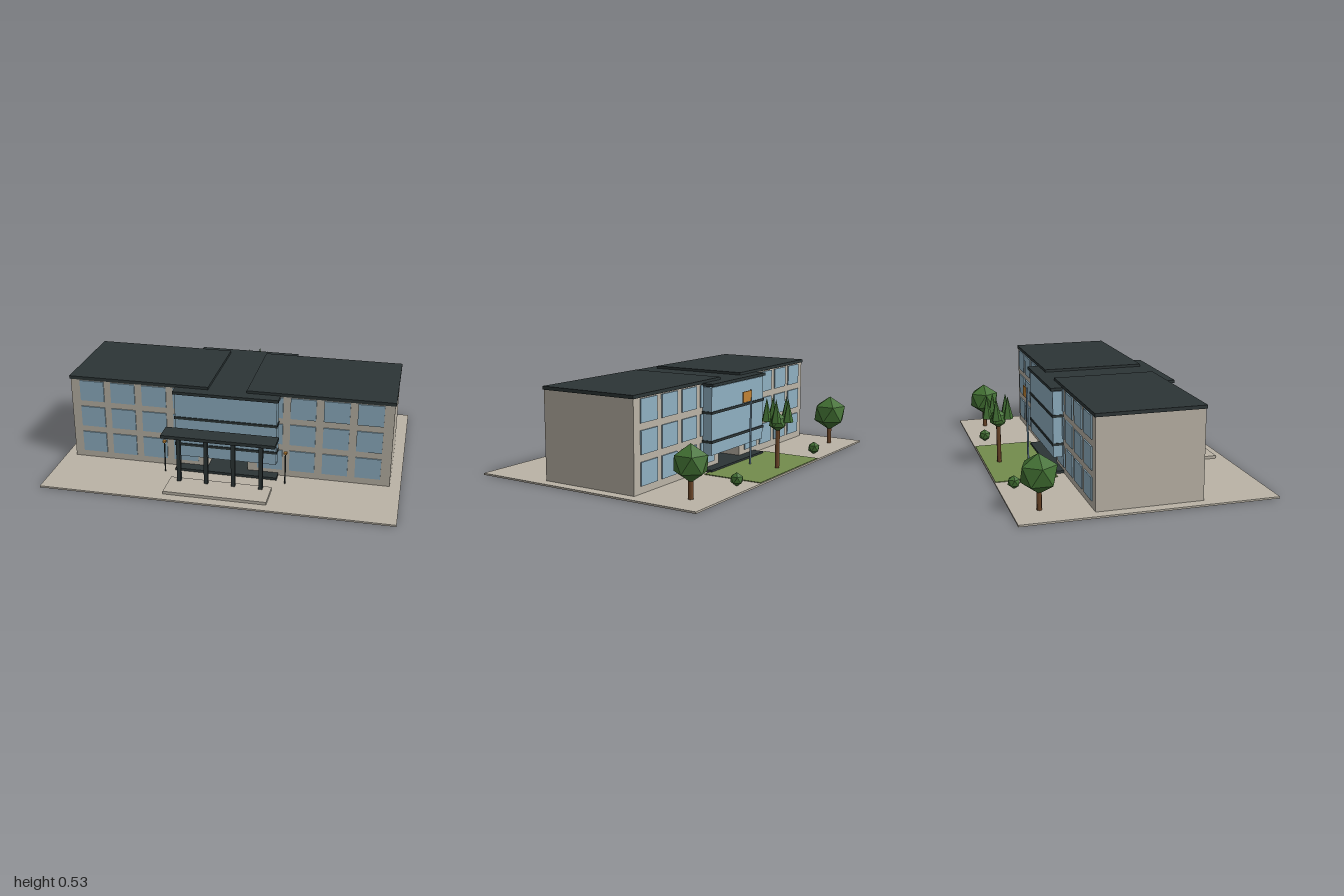
import * as THREE from 'three';

const mat = (name, color, extra) => {
  const m = new THREE.MeshStandardMaterial({ color, ...extra });
  m.name = name;
  return m;
};

export function createModel() {
  const concrete = mat('concrete', 0xbab3a6);
  const slate = mat('dark slate', 0x2c3536);
  const glass = mat('window glass', 0x8fb0c2);
  const grass = mat('grass', 0x738c4c);
  const leaf = mat('foliage', 0x416f32, { flatShading: true });
  const bark = mat('bark', 0x6a4427);
  const amber = mat('amber', 0xc08234);
  const steel = mat('blue steel', 0x6f8ca0);

  const model = new THREE.Group();
  model.name = 'officeBuilding';

  const group = (name) => {
    const g = new THREE.Group();
    g.name = name;
    model.add(g);
    return g;
  };
  const add = (parent, name, geometry, material, x, y, z) => {
    const mesh = new THREE.Mesh(geometry, material);
    mesh.name = name;
    mesh.position.set(x, y, z);
    parent.add(mesh);
    return mesh;
  };
  // Box given by its minimum and maximum on each axis
  const box = (parent, name, material, [x0, x1], [y0, y1], [z0, z1]) =>
    add(parent, name, new THREE.BoxGeometry(x1 - x0, y1 - y0, z1 - z0), material,
      (x0 + x1) / 2, (y0 + y1) / 2, (z0 + z1) / 2);
  // Upright post standing on height y0
  const post = (parent, name, material, r, sides, x, y0, y1, z) =>
    add(parent, name, new THREE.CylinderGeometry(r, r, y1 - y0, sides), material, x, (y0 + y1) / 2, z);
  // Faceted ball with a corner pointing straight up
  const ball = (parent, name, r, x, y, z) => {
    const geometry = new THREE.IcosahedronGeometry(r, 0);
    geometry.rotateZ(Math.atan(2 / (1 + Math.sqrt(5))));
    return add(parent, name, geometry, leaf, x, y, z);
  };

  // Site
  box(model, 'paving', concrete, [-1, 1], [0, 0.01], [-0.705, 0.705]);
  box(model, 'lawn', grass, [-0.353, 0.353], [0.01, 0.014], [-0.7, -0.345]);

  // Two mirrored wings with a grid of windows front and back
  for (const side of [-1, 1]) {
    const wing = group(side < 0 ? 'rightWing' : 'leftWing');
    const span = (a, b) => (side < 0 ? [-b, -a] : [a, b]);
    box(wing, 'walls', concrete, span(0.118, 0.938), [0.01, 0.51], [-0.295, 0.295]);
    box(wing, 'roof', slate, span(0.112, 0.944), [0.508, 0.527], [-0.3, 0.3]);
    for (const x of [0.248, 0.435, 0.623, 0.81])
      for (const y of [0.113, 0.277, 0.44])
        for (const face of [-1, 1])
          add(wing, 'window', new THREE.BoxGeometry(0.145, 0.125, 0.009), glass, side * x, y, face * 0.2975);
  }

  // Central glazed bay, open at ground level, with floor slabs
  const bay = group('centralBay');
  box(bay, 'glazing', glass, [-0.295, 0.295], [0.107, 0.49], [-0.355, 0.355]);
  box(bay, 'bayRoof', slate, [-0.304, 0.304], [0.495, 0.512], [-0.367, 0.367]);
  for (const y of [0.01, 0.175, 0.34])
    box(bay, 'floorSlab', slate, [-0.299, 0.299], [y, y + 0.015], [-0.36, 0.36]);

  // Entrance canopy on four columns
  const entrance = group('entrance');
  box(entrance, 'platform', concrete, [-0.293, 0.293], [0.01, 0.027], [0.472, 0.647]);
  box(entrance, 'canopy', slate, [-0.323, 0.323], [0.308, 0.327], [0.443, 0.557]);
  for (const x of [-0.235, -0.078, 0.078, 0.235])
    box(entrance, 'column', slate, [x - 0.011, x + 0.011], [0.027, 0.31], [0.491, 0.514]);

  // Lamp posts
  for (const x of [-0.353, 0.353]) {
    const lamp = group('lampPost');
    post(lamp, 'lampPole', slate, 0.004, 8, x, 0.01, 0.2, 0.385);
    add(lamp, 'lampHead', new THREE.BoxGeometry(0.018, 0.012, 0.018), amber, x, 0.204, 0.385);
  }

  // Flagpole
  const flagpole = group('flagpole');
  post(flagpole, 'pole', steel, 0.006, 8, 0, 0.01, 0.452, -0.438);
  box(flagpole, 'flag', amber, [0, 0.095], [0.386, 0.448], [-0.442, -0.436]);

  // Round trees and bushes
  for (const [x, y, r] of [[-0.825, 0.205, 0.108], [0.822, 0.195, 0.1]]) {
    const tree = group('roundTree');
    post(tree, 'trunk', bark, 0.014, 7, x, 0.01, 0.15, -0.56);
    ball(tree, 'crown', r, x, y, -0.56);
  }
  for (const x of [-0.47, 0.47]) ball(model, 'bush', 0.038, x, 0.046, -0.62);

  // Tall tree with a ring of pointed tufts
  const tall = group('tuftedTree');
  post(tall, 'trunk', bark, 0.013, 7, 0, 0.01, 0.29, -0.613);
  ball(tall, 'crown', 0.055, 0, 0.28, -0.613);
  for (let i = 0; i < 5; i++) {
    const a = (i / 5) * Math.PI * 2;
    add(tall, 'tuft', new THREE.ConeGeometry(0.031, 0.133, 5), leaf,
      Math.sin(a) * 0.064, 0.352, -0.613 - Math.cos(a) * 0.064);
  }
  return model;
}
